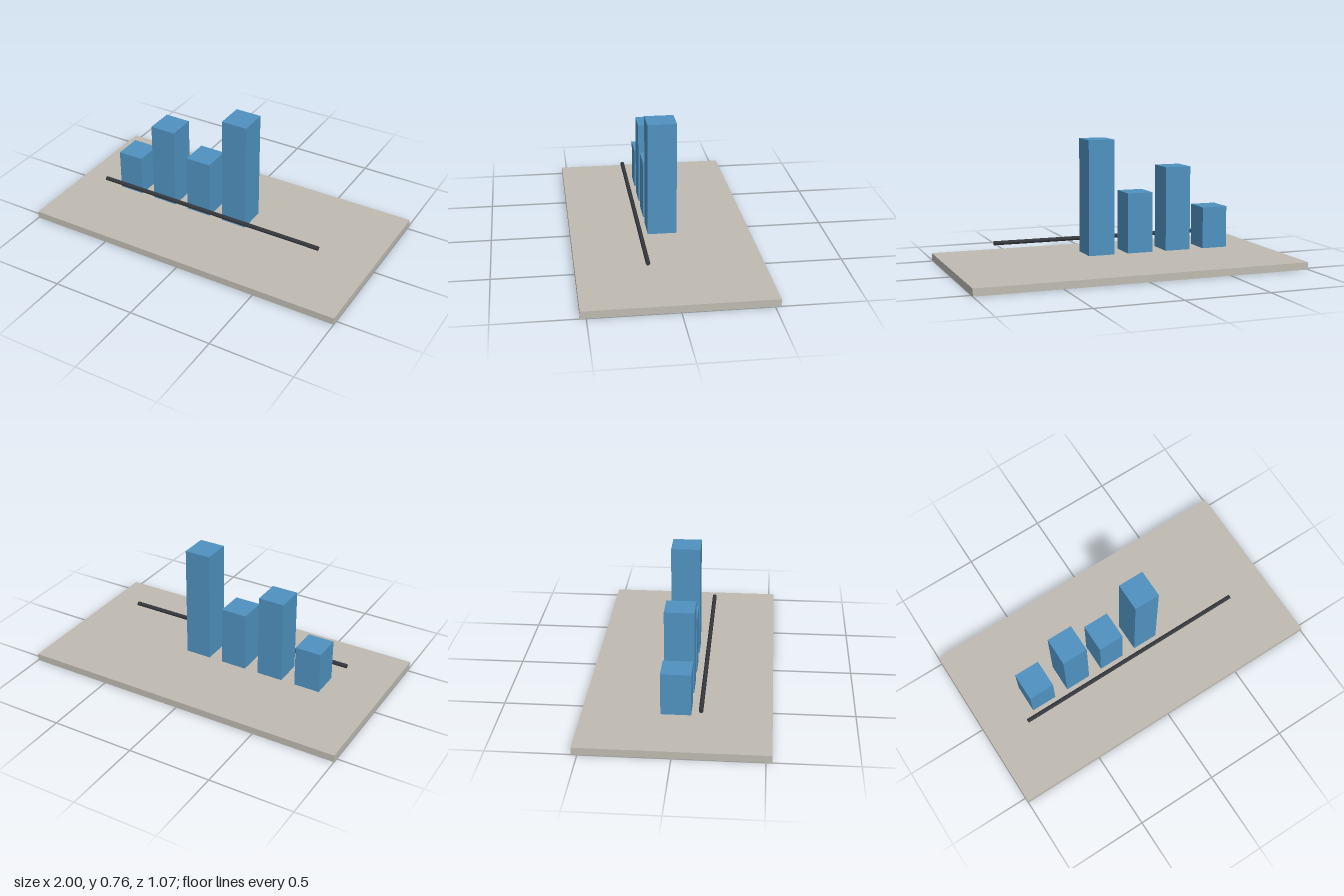
import * as THREE from 'three';

export function createModel() {
  const model = new THREE.Group();
  model.name = 'barChart';

  const material = (name, color) => {
    const m = new THREE.MeshStandardMaterial({ color });
    m.name = name;
    return m;
  };
  const stone = material('warmGrey', 0xbfbbb2);
  const blue = material('blue', 0x4f92c0);
  const dark = material('charcoal', 0x34373c);

  const add = (name, geometry, mat, x, y, z) => {
    const mesh = new THREE.Mesh(geometry, mat);
    mesh.name = name;
    mesh.position.set(x, y, z);
    model.add(mesh);
    return mesh;
  };

  // Base plate
  const baseHeight = 0.043;
  add('base', new THREE.BoxGeometry(2, baseHeight, 1.066), stone, 0, baseHeight / 2, 0);

  // Row of bars floating just above the plate
  const barBottom = 0.08;
  [0.33, 0.583, 0.438, 0.758].forEach((top, i) => {
    const height = top - barBottom;
    add(`bar${i + 1}`, new THREE.BoxGeometry(0.157, height, 0.17), blue,
      -0.608 + i * 0.243, barBottom + height / 2, 0);
  });

  // Thin axis rod in front of the bars
  const rod = new THREE.CylinderGeometry(0.0125, 0.0125, 1.465, 12);
  rod.rotateZ(Math.PI / 2);
  add('axisRod', rod, dark, -0.022, 0.151, 0.143);

  return model;
}
